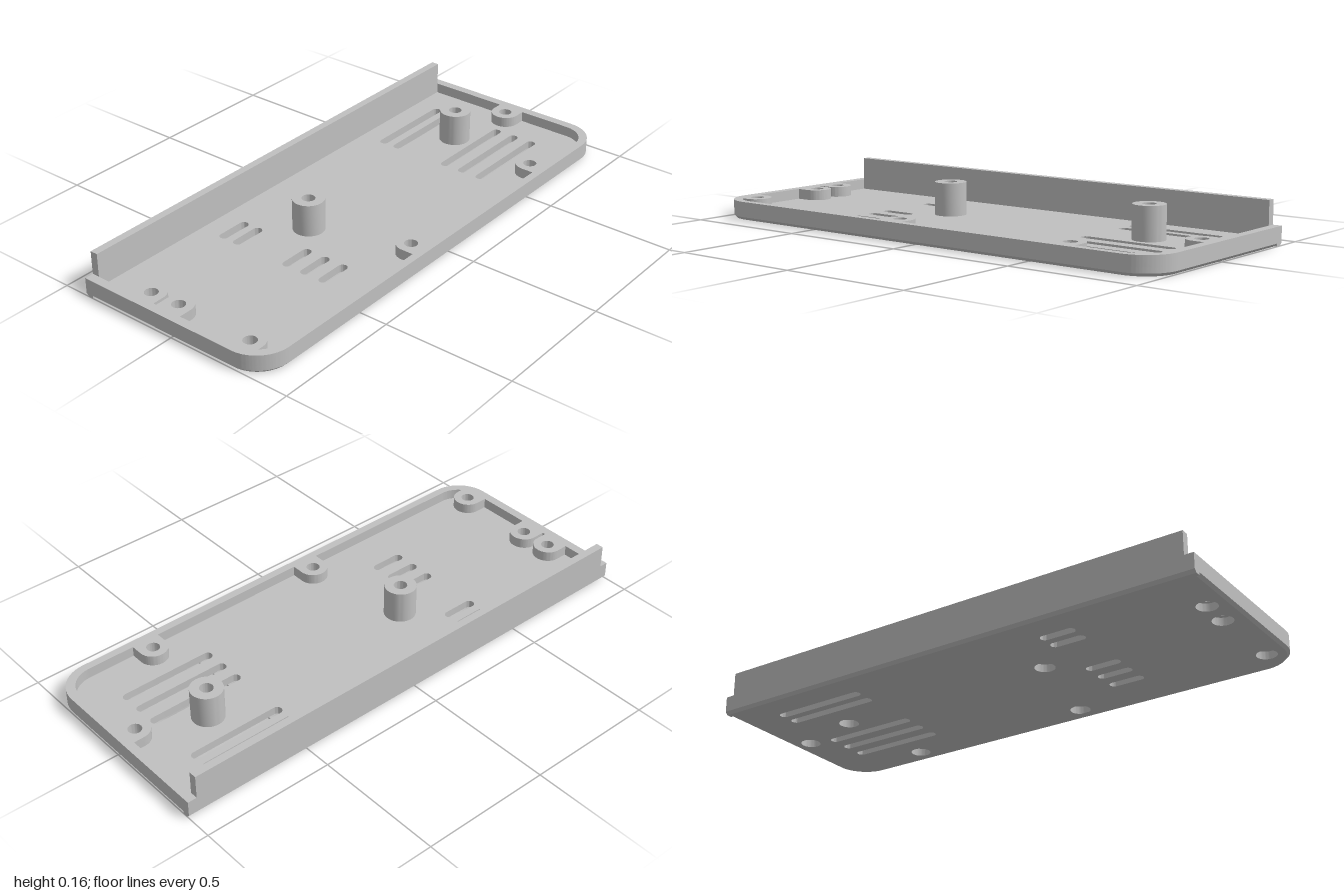
import * as THREE from 'three';
import { toCreasedNormals } from 'three/addons/utils/BufferGeometryUtils.js';

const FLOOR = 0.03, RIM = 0.07, CHAMFER = 0.011;
const EDGE = 0.4, SEAM = -0.37, END = 1, CORNER = 0.13;
const SIDE_WALL = 0.03, END_WALL = 0.035;

// Bosses: x, z and direction towards the rim
const bosses = [
  [0.003, -0.923, 0, -1], [0.322, -0.62, 1, 0], [0.322, 0.131, 1, 0],
  [-0.165, 0.92, 0, 1], [-0.043, 0.915, 0, 1], [0.279, 0.92, 0, 1],
];
const posts = [[-0.068, -0.67], [-0.068, 0.225]];
const slotColumns = [-0.268, -0.202, 0.031, 0.113, 0.195];
const slotRows = [[-0.839, -0.456], [0.337, 0.475]];

// Plan shapes are drawn in x and -z, then extruded upwards
function extrudeUp(shape, y, height, steps = 1) {
  const g = new THREE.ExtrudeGeometry(shape, { depth: height, steps, bevelEnabled: false, curveSegments: 20 });
  return g.rotateX(-Math.PI / 2).translate(0, y, 0);
}

function circle(x, z, r) {
  return new THREE.Path().absarc(x, -z, r, 0, Math.PI * 2, true);
}

function slot(x, z0, z1, r) {
  const p = new THREE.Path();
  p.absarc(x, -z0 - r, r, 0, Math.PI, false);
  p.absarc(x, -z1 + r, r, Math.PI, Math.PI * 2, false);
  p.closePath();
  return p;
}

// Tray outline with two rounded corners on the +x side
function trayOutline() {
  const s = new THREE.Shape(), c = EDGE - CORNER, e = END - CORNER;
  s.moveTo(SEAM, -END);
  s.lineTo(0, -END);
  s.absarc(c, -e, CORNER, -Math.PI / 2, 0, false);
  s.absarc(c, e, CORNER, 0, Math.PI / 2, false);
  s.lineTo(SEAM, END);
  return s;
}

export function createModel() {
  const group = new THREE.Group();
  const grey = new THREE.MeshStandardMaterial({ color: 0xc0c0c0 });
  grey.name = 'grey plastic';
  const add = (name, geometry) => {
    const mesh = new THREE.Mesh(toCreasedNormals(geometry, 0.5), grey);
    mesh.name = name;
    group.add(mesh);
  };

  // Floor with vent slots and screw recesses
  const floor = trayOutline();
  for (const [x, z] of [...bosses, ...posts]) floor.holes.push(circle(x, z, 0.038));
  for (const x of slotColumns)
    for (const [z0, z1] of slotRows) floor.holes.push(slot(x, z0, z1, 0.018));
  const floorGeometry = extrudeUp(floor, 0, FLOOR, 2);

  // Draw in the lowest outer edge to form the chamfer
  const p = floorGeometry.attributes.position, inner = CORNER - CHAMFER;
  for (let i = 0; i < p.count; i++) {
    if (p.getY(i) > FLOOR * 0.75) continue;
    if (p.getY(i) > FLOOR * 0.25) { p.setY(i, CHAMFER); continue; }
    const x = p.getX(i), z = p.getZ(i);
    const cx = Math.min(x, EDGE - CORNER);
    const cz = THREE.MathUtils.clamp(z, CORNER - END, END - CORNER);
    const d = Math.hypot(x - cx, z - cz);
    if (d > inner) {
      p.setX(i, cx + (x - cx) * inner / d);
      p.setZ(i, cz + (z - cz) * inner / d);
    }
  }
  add('floor', floorGeometry);

  // Raised rim on three sides
  const rim = trayOutline(), r = CORNER - SIDE_WALL;
  const c = EDGE - CORNER, e = END - END_WALL - r;
  rim.lineTo(SEAM, END - END_WALL);
  rim.lineTo(0, END - END_WALL);
  rim.absarc(c, e, r, Math.PI / 2, 0, true);
  rim.absarc(c, -e, r, 0, -Math.PI / 2, true);
  rim.lineTo(SEAM, END_WALL - END);
  add('rim', extrudeUp(rim, FLOOR, RIM - FLOOR));

  // Edge strip with one chamfer along its length
  const strip = new THREE.Shape();
  strip.moveTo(-EDGE + CHAMFER, 0);
  strip.lineTo(SEAM, 0);
  strip.lineTo(SEAM, RIM);
  strip.lineTo(-EDGE, RIM);
  strip.lineTo(-EDGE, CHAMFER);
  add('edgeStrip', new THREE.ExtrudeGeometry(strip, { depth: END * 2, bevelEnabled: false }).translate(0, 0, -END));

  // Tall side wall
  const wall = new THREE.BoxGeometry(SEAM + EDGE, 0.16 - RIM, 2 * (END - END_WALL));
  add('sideWall', wall.translate((SEAM - EDGE) / 2, (0.16 + RIM) / 2, 0));

  // Screw bosses joined to the rim
  for (const [x, z, dx, dz] of bosses) {
    const a = Math.atan2(-dz, dx), radius = 0.055, reach = 0.055;
    const s = new THREE.Shape();
    s.absarc(x, -z, radius, a + Math.PI / 2, a + Math.PI * 1.5, false);
    s.lineTo(x + dx * reach - dz * radius, -z - dz * reach - dx * radius);
    s.lineTo(x + dx * reach + dz * radius, -z - dz * reach + dx * radius);
    s.holes.push(circle(x, z, 0.025));
    add('screwBoss', extrudeUp(s, FLOOR, RIM - FLOOR));
  }

  // Free-standing screw posts
  for (const [x, z] of posts) {
    const s = new THREE.Shape().absarc(x, -z, 0.06, 0, Math.PI * 2, false);
    s.holes.push(circle(x, z, 0.025));
    add('screwPost', extrudeUp(s, FLOOR, 0.155 - FLOOR));
  }
  return group;
}
